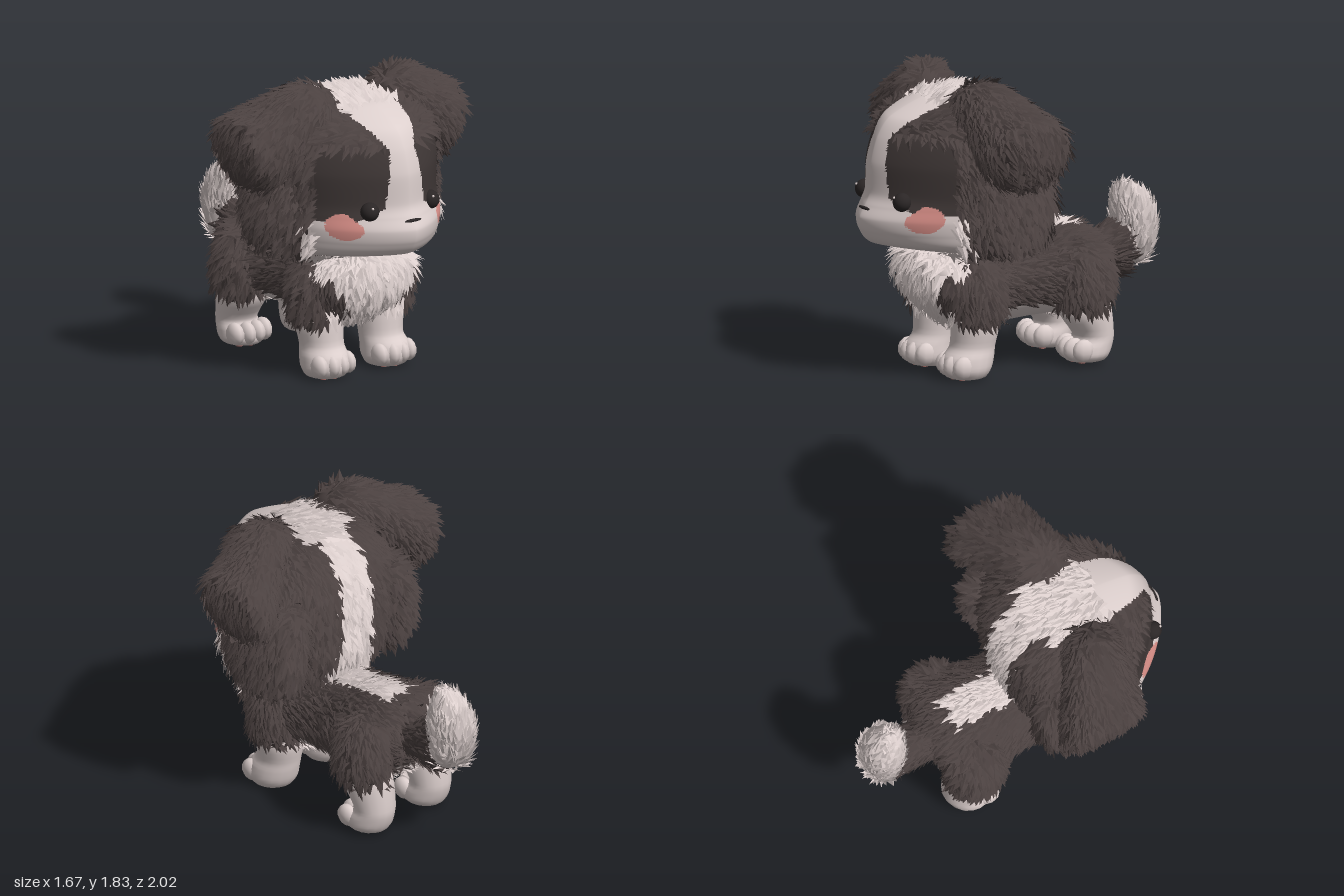
import * as THREE from 'three';

const mat = (name, color) => {
  const m = new THREE.MeshStandardMaterial({ color, side: THREE.DoubleSide });
  m.name = name;
  return m;
};
const M = {
  dark: mat('darkFur', 0x4b4140),
  white: mat('whiteFur', 0xdccfcd),
  patch: mat('facePatch', 0x3f3736),
  pink: mat('cheekPink', 0xd98f88),
  eye: mat('eyeBlack', 0x2b2626),
  pad: mat('pawPad', 0x9a645f),
};

let seed = 7;
const rnd = () => (seed = (seed * 16807) % 2147483647) / 2147483647;
const V = (x, y, z) => new THREE.Vector3(x, y, z);

// Closed loft along y. Ring: [height, centre x, half width, front z, back z]
function loft(rings, segs, rows, s = 1, frontPower = 1, backPower = 1) {
  const a = new THREE.CatmullRomCurve3(rings.map(r => V(r[0], r[1] * s, r[2])), false, 'catmullrom', 0.4);
  const b = new THREE.CatmullRomCurve3(rings.map(r => V(r[3], r[4], 0)), false, 'catmullrom', 0.4);
  const pos = [], idx = [];
  for (let i = 0; i <= rows; i++) {
    const p = a.getPoint(i / rows), q = b.getPoint(i / rows);
    for (let j = 0; j < segs; j++) {
      const u = (j / segs) * Math.PI * 2, c = Math.cos(u), n = Math.sin(u);
      const e = n > 0 ? frontPower : backPower;
      const x = Math.sign(c) * Math.abs(c) ** e, z = Math.sign(n) * Math.abs(n) ** e;
      pos.push(p.y + Math.max(0, p.z) * x, p.x, (q.x + q.y) / 2 + Math.max(0, (q.x - q.y) / 2) * z);
      if (i < rows) {
        const k = i * segs + j, k1 = i * segs + (j + 1) % segs;
        idx.push(k, k + segs, k1, k1, k + segs, k1 + segs);
      }
    }
  }
  const g = new THREE.BufferGeometry();
  g.setAttribute('position', new THREE.Float32BufferAttribute(pos, 3));
  g.setIndex(idx);
  return g;
}

// Splits a surface by colour rule and covers it with folded tufts of fur
function coat(name, geo, paint, fur) {
  geo.computeVertexNormals();
  const P = geo.attributes.position, N = geo.attributes.normal, I = geo.index, out = {};
  const add = (key, pts, ns) => {
    const o = (out[key] ??= { p: [], n: [] });
    pts.forEach((v, i) => { o.p.push(v.x, v.y, v.z); o.n.push(ns[i].x, ns[i].y, ns[i].z); });
  };
  const flat = (key, a, b, c) => {
    const n = b.clone().sub(a).cross(c.clone().sub(a)).normalize();
    add(key, [a, b, c], [n, n, n]);
  };
  for (let t = 0; t < I.count; t += 3) {
    const ids = [0, 1, 2].map(k => I.getX(t + k));
    const v = ids.map(i => V().fromBufferAttribute(P, i));
    const mid = V(0, 0, 0).add(v[0]).add(v[1]).add(v[2]).divideScalar(3);
    const cross = v[1].clone().sub(v[0]).cross(v[2].clone().sub(v[0]));
    const area = cross.length() / 2;
    if (area < 1e-9) continue;
    add(paint(mid), v, ids.map(i => V().fromBufferAttribute(N, i)));
    if (!fur || (fur.when && !fur.when(mid))) continue;
    const n = cross.normalize();
    for (let k = Math.floor(area * 1300 + rnd()); k > 0; k--) {
      let r1 = rnd(), r2 = rnd();
      if (r1 + r2 > 1) { r1 = 1 - r1; r2 = 1 - r2; }
      const root = v[0].clone().addScaledVector(v[1].clone().sub(v[0]), r1).addScaledVector(v[2].clone().sub(v[0]), r2);
      const d = fur.flow(root).add(V(rnd() - 0.5, rnd() - 0.5, rnd() - 0.5).multiplyScalar(0.6));
      d.addScaledVector(n, -d.dot(n)).normalize();
      const side = n.clone().cross(d).multiplyScalar(0.06 * (0.35 + 0.3 * rnd()));
      const tip = root.clone().addScaledVector(d, 0.095 * (0.6 + 0.6 * rnd())).addScaledVector(n, fur.lift * (0.5 + rnd()));
      const ridge = root.clone().addScaledVector(n, 0.016).addScaledVector(d, 0.015);
      const L = root.clone().add(side), R = root.clone().sub(side), key = paint(root);
      flat(key, R, tip, ridge);
      flat(key, ridge, tip, L);
    }
  }
  const group = new THREE.Group();
  group.name = name;
  for (const key in out) {
    const g = new THREE.BufferGeometry();
    g.setAttribute('position', new THREE.Float32BufferAttribute(out[key].p, 3));
    g.setAttribute('normal', new THREE.Float32BufferAttribute(out[key].n, 3));
    const m = new THREE.Mesh(g, M[key]);
    m.name = `${name} ${M[key].name}`;
    group.add(m);
  }
  return group;
}

function ball(name, material, x, y, z, rx, ry = rx, rz = rx, segs = 20) {
  const m = new THREE.Mesh(new THREE.SphereGeometry(1, segs, Math.ceil(segs * 0.7)), material);
  m.position.set(x, y, z);
  m.scale.set(rx, ry, rz);
  m.name = name;
  return m;
}

// Colour rules
const stripe = y => (y > 1.45 ? Math.min(0.2, 0.09 + (y - 1.45) * 0.6) : 0.09 + (1.45 - y) * 0.15);
function headPaint(p) {
  const x = Math.abs(p.x), { y, z } = p;
  if (z > 0.6 && Math.hypot(x - 0.34, y - 1) < 0.078 && y - 1 < (x - 0.26) * 1.2) return 'pink';
  if (z < 0.2) return x < (y < 0.95 ? 0.17 : 0.12) ? 'white' : 'dark';
  if (y > 1.05 && x < stripe(y)) return 'white';
  if (z > 0.53 && x < 0.47 && y < 1.03 + Math.max(0, 0.3 - x) * 0.5) return 'white';
  return headFur(p) ? 'dark' : 'patch';
}
const headFur = p => p.z < 0.6 || Math.abs(p.x) > 0.45 || (p.y > 1.47 && Math.abs(p.x) > stripe(p.y));
function bodyPaint(p) {
  const x = Math.abs(p.x), { y, z } = p;
  if (z > 0.42 && x < 0.05 + 0.65 * (y - 0.25)) return 'white';
  if (y > 0.6 && z > -0.38 && x < 0.1) return 'white';
  return y < 0.4 ? 'white' : 'dark';
}

export function createModel() {
  const dog = new THREE.Group();
  dog.name = 'puppy';

  // Head with smooth face and furry sides
  dog.add(coat('head', loft([
    [0.755, 0, 0, 0.4, 0.4], [0.765, 0, 0.38, 0.64, 0.08], [0.82, 0, 0.47, 0.91, 0.02], [0.9, 0, 0.49, 0.985, -0.02],
    [0.98, 0, 0.5, 1.0, -0.04], [1.05, 0, 0.505, 0.965, -0.05], [1.12, 0, 0.51, 0.935, -0.05], [1.3, 0, 0.52, 0.925, -0.05],
    [1.45, 0, 0.49, 0.88, -0.02], [1.56, 0, 0.41, 0.8, 0.05], [1.65, 0, 0.27, 0.6, 0.16], [1.68, 0, 0, 0.4, 0.4],
  ], 176, 120, 1, 1.36, 0.8), headPaint, {
    when: headFur, lift: 0.035, flow: p => V(p.x * 0.8, -1, p.y > 1.5 ? -1 : -0.25),
  }));
  dog.add(ball('nose', M.eye, 0, 1.035, 0.968, 0.06, 0.01, 0.012));

  // Torso, lofted along z
  const torso = loft([
    [-0.54, 0, 0, -0.6, -0.6], [-0.52, 0, 0.18, -0.45, -0.73], [-0.45, 0, 0.31, -0.34, -0.79], [-0.3, 0, 0.34, -0.29, -0.81],
    [-0.1, 0, 0.29, -0.28, -0.79], [0.1, 0, 0.29, -0.27, -0.78], [0.3, 0, 0.34, -0.28, -0.8], [0.45, 0, 0.35, -0.32, -0.8],
    [0.58, 0, 0.3, -0.43, -0.78], [0.66, 0, 0.18, -0.54, -0.75], [0.685, 0, 0, -0.65, -0.65],
  ], 60, 50).rotateX(Math.PI / 2);
  dog.add(coat('torso', torso, bodyPaint, {
    when: p => p.y > 0.42 || Math.abs(p.z) > 0.22, lift: 0.032,
    flow: p => (p.z > 0.42 ? V(0, -1, 0.1) : V(0, -0.4, -1)),
  }));

  // Tail: dark root and upright white plume
  dog.add(coat('tailRoot', loft([
    [-0.8, 0, 0, -0.63, -0.63], [-0.77, 0, 0.1, -0.47, -0.79], [-0.68, 0, 0.11, -0.46, -0.76], [-0.58, 0, 0.11, -0.48, -0.72],
    [-0.45, 0, 0.1, -0.5, -0.74], [-0.4, 0, 0, -0.62, -0.62],
  ], 28, 20).rotateX(Math.PI / 2), () => 'dark', { lift: 0.028, flow: () => V(0, 0.15, -1) }));
  dog.add(coat('tailPlume', loft([
    [0.5, 0, 0, -0.84, -0.84], [0.53, 0, 0.08, -0.78, -0.9], [0.62, 0, 0.12, -0.74, -0.95], [0.76, 0, 0.13, -0.72, -0.97],
    [0.88, 0, 0.11, -0.72, -0.94], [0.95, 0, 0.07, -0.74, -0.86], [0.98, 0, 0, -0.79, -0.79],
  ], 28, 24), () => 'white', { lift: 0.022, flow: () => V(0, 1, 0.1) }));

  for (const s of [1, -1]) {
    const side = s > 0 ? 'left' : 'right';

    // Folded ear, lofted sideways
    const ear = loft([
      [0.16, -1.62, 0, 0.42, 0.42], [0.2, -1.62, 0.1, 0.5, 0.28], [0.32, -1.62, 0.155, 0.53, 0.21], [0.46, -1.53, 0.215, 0.53, 0.13],
      [0.6, -1.43, 0.24, 0.52, 0.03], [0.69, -1.43, 0.2, 0.49, 0.01], [0.75, -1.48, 0.12, 0.44, 0.06], [0.775, -1.5, 0, 0.26, 0.26],
    ], 48, 36, s, 0.95, 0.95).rotateZ(-s * Math.PI / 2);
    dog.add(coat(side + 'Ear', ear, () => 'dark', { lift: 0.028, flow: () => V(s * 0.5, -0.8, -0.15) }));

    // Bushy cheek ruff below the ear
    dog.add(coat(side + 'CheekRuff', loft([
      [0.79, 0.43, 0, 0.26, 0.26], [0.82, 0.43, 0.12, 0.44, 0.06], [0.92, 0.44, 0.135, 0.49, 0.0], [1.05, 0.44, 0.14, 0.5, -0.03],
      [1.2, 0.43, 0.13, 0.5, -0.03], [1.33, 0.4, 0.1, 0.45, 0.0], [1.42, 0.38, 0, 0.25, 0.25],
    ], 32, 26, s, 0.9, 0.85), () => 'dark', { lift: 0.045, flow: () => V(s * 0.4, -1, -0.1) }));

    // Eye with a glint
    dog.add(ball(side + 'Eye', M.eye, s * 0.22, 1.095, 0.84, 0.056));
    dog.add(ball(side + 'EyeGlint', M.white, s * 0.22 - 0.012, 1.125, 0.887, 0.008, 0.008, 0.008, 8));

    // Furry shoulder and thigh
    const upper = (z0, z1) => [
      [0.34, 0.25, 0, (z0 + z1) / 2, (z0 + z1) / 2], [0.355, 0.255, 0.125, z0 - 0.02, z1 + 0.02], [0.44, 0.265, 0.14, z0, z1],
      [0.56, 0.26, 0.14, z0, z1], [0.7, 0.22, 0.12, z0 - 0.03, z1 + 0.03], [0.77, 0.18, 0, (z0 + z1) / 2, (z0 + z1) / 2],
    ];
    const legFur = { lift: 0.035, flow: () => V(0, -1, -0.25) };
    dog.add(coat(side + 'Shoulder', loft(upper(0.5, 0.2), 36, 26, s),
      p => (Math.abs(p.x) < (p.z > 0.4 && p.y < 0.52 ? 0.27 : 0.16) ? 'white' : 'dark'), legFur));
    dog.add(coat(side + 'Thigh', loft(upper(-0.2, -0.53), 36, 26, s),
      p => (Math.abs(p.x) < 0.15 && p.y < 0.45 && p.z > -0.48 ? 'white' : 'dark'), legFur));

    // Smooth lower legs with toes and pads
    const legs = {
      FrontLeg: [
        [0.004, 0.22, 0, 0.42, 0.42], [0.008, 0.22, 0.11, 0.52, 0.3], [0.06, 0.22, 0.145, 0.56, 0.26], [0.13, 0.22, 0.14, 0.55, 0.24],
        [0.19, 0.215, 0.13, 0.5, 0.23], [0.3, 0.22, 0.14, 0.49, 0.21], [0.4, 0.22, 0.12, 0.47, 0.24], [0.45, 0.22, 0, 0.36, 0.36],
      ],
      HindLeg: [
        [0.02, 0.23, 0, -0.4, -0.4], [0.024, 0.23, 0.1, -0.28, -0.5], [0.06, 0.23, 0.135, -0.25, -0.53], [0.11, 0.23, 0.135, -0.26, -0.55],
        [0.17, 0.23, 0.125, -0.32, -0.56], [0.3, 0.23, 0.14, -0.23, -0.55], [0.4, 0.23, 0.12, -0.24, -0.52], [0.45, 0.23, 0, -0.38, -0.38],
      ],
    };
    for (const [kind, rings] of Object.entries(legs)) {
      const front = kind === 'FrontLeg', cx = rings[0][1] * s, z = front ? 0.52 : -0.28, y0 = rings[0][0];
      dog.add(coat(side + kind, loft(rings, 18, 24, s), () => 'white'));
      for (let i = 0; i < 4; i++) {
        const o = (i - 1.5) * 0.068;
        dog.add(ball(side + kind + 'Toe', M.white, cx + o, y0 + 0.08, z - Math.abs(o) * 0.35, 0.045, 0.068, 0.07, 9));
      }
      const pad = (x, pz, r) => {
        const m = new THREE.Mesh(new THREE.CylinderGeometry(r, r, 0.008, 14), M.pad);
        m.position.set(x, y0 + 0.002, pz);
        m.name = side + kind + 'Pad';
        dog.add(m);
      };
      pad(cx, z - 0.12, 0.045);
      for (let i = -1; i <= 1; i++) pad(cx + i * 0.06, z - 0.03 - Math.abs(i) * 0.02, 0.02);
    }
  }
  return dog;
}
